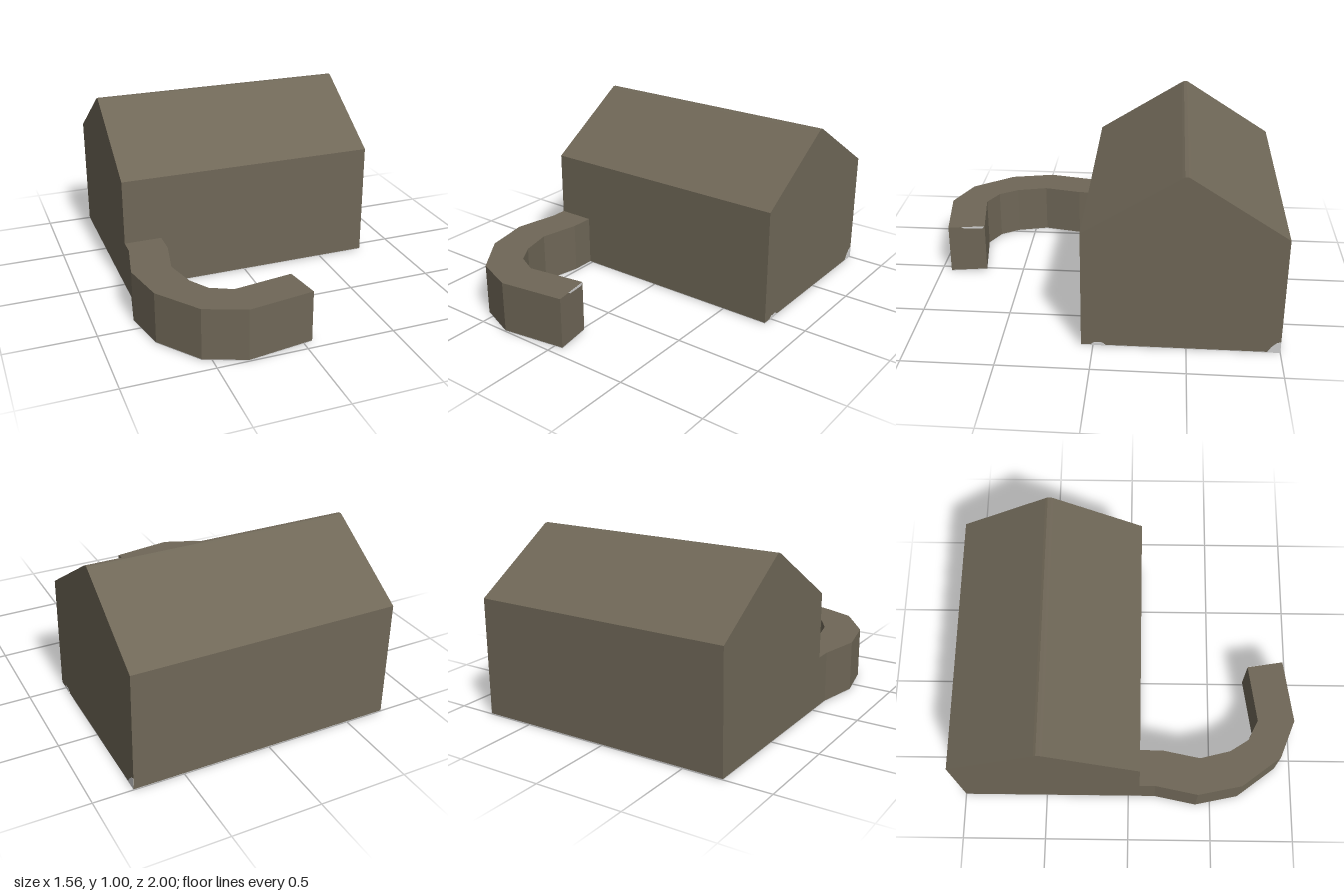
import * as THREE from 'three';

const brown = new THREE.MeshStandardMaterial({ name: 'brown stone', color: 0x6f6757 });
const grey = new THREE.MeshStandardMaterial({ name: 'light grey', color: 0xd0d0d0 });

const BASE = 0.004; // thickness of the grey underside plates

function extrude(name, points, depth, material) {
  const shape = new THREE.Shape(points.map(([x, y]) => new THREE.Vector2(x, y)));
  const geometry = new THREE.ExtrudeGeometry(shape, { depth, bevelEnabled: false });
  const mesh = new THREE.Mesh(geometry, material);
  mesh.name = name;
  return mesh;
}

// Extrudes a plan of [x, z] points upward from height y
function fromPlan(name, plan, y, height, material) {
  const mesh = extrude(name, plan.map(([x, z]) => [x, -z]), height, material);
  mesh.geometry.rotateX(-Math.PI / 2).translate(0, y, 0);
  return mesh;
}

// Extrudes a side profile of [z, y] points along +x
function fromSide(name, profile, x, width, material) {
  const mesh = extrude(name, profile.map(([z, y]) => [-z, y]), width, material);
  mesh.geometry.rotateY(Math.PI / 2).translate(x, 0, 0);
  return mesh;
}

export function createModel() {
  const model = new THREE.Group();
  model.name = 'houseWithCurvedWall';

  // Gabled house with a narrow flat ridge
  const left = 0.78, right = -0.73, front = 0.065, back = -1;
  const gable = [
    [front, BASE], [front, 0.675], [-0.445, 0.998], [-0.458, 1.005],
    [-0.477, 1.005], [-0.49, 0.998], [back, 0.675], [back, BASE],
  ];
  model.add(fromSide('house', gable, right, left - right, brown));
  const floor = [[right, front], [left, front], [left, back], [right, back]];
  model.add(fromPlan('houseUnderside', floor, 0, BASE, grey));

  // Low wall hooking round from the front of the house
  const wall = [
    [-0.73, 0.065], [-0.73, 0.16], [-0.78, 0.41], [-0.725, 0.67], [-0.55, 0.905],
    [-0.325, 0.995], [0.05, 0.94], [0.015, 0.725], [-0.325, 0.775], [-0.445, 0.715],
    [-0.515, 0.605], [-0.56, 0.425], [-0.515, 0.2], [-0.515, 0.065],
  ];
  model.add(fromPlan('curvedWall', wall, BASE, 0.298 - BASE, brown));
  model.add(fromPlan('wallUnderside', wall, 0, BASE, grey));

  // Worn patches at the foot of the left gable
  const corner = [[-0.93, 0.004], [-0.95, 0.035], [-0.975, 0.06], [-1, 0.07], [-1, 0.004]];
  const spot = [[0.015, 0.004], [-0.005, 0.018], [-0.045, 0.021], [-0.07, 0.004]];
  model.add(fromSide('cornerPatch', corner, left, 0.002, grey));
  model.add(fromSide('footPatch', spot, left, 0.002, grey));

  // Worn patch along the top of the wall end
  const end = extrude('wallEndPatch',
    [[0.08, 0.298], [0.095, 0.288], [0.2, 0.283], [0.218, 0.298]], 0.002, grey);
  end.rotation.y = Math.atan2(0.215, -0.035);
  end.position.set(0.05, 0, 0.94);
  model.add(end);

  return model;
}
